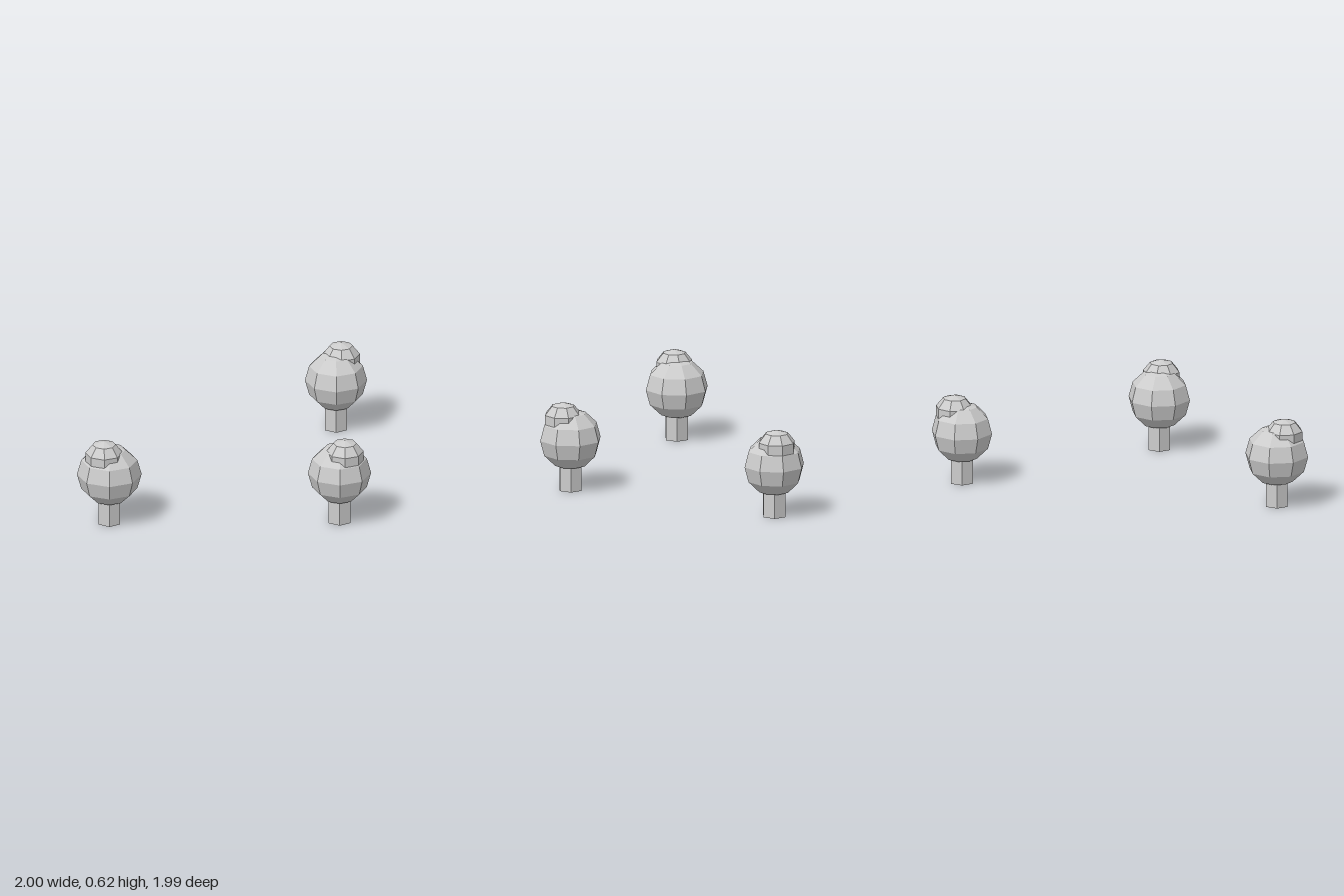
import * as THREE from 'three';

const grey = new THREE.MeshStandardMaterial({ color: 0xcccccc, flatShading: true });
grey.name = 'grey';

// Hollow six-sided trunk, from the inside top round the rim to the outside top
const trunkProfile = [[0.05, 0.2], [0.05, 0], [0.085, 0], [0.085, 0.2]];
const trunkGeometry = new THREE.LatheGeometry(
  trunkProfile.map(([r, y]) => new THREE.Vector2(r, y)), 6).toNonIndexed();
trunkGeometry.computeVertexNormals();

// Faceted ball of foliage, slightly flattened
function foliage(name, radius, rows, height, x, y, z) {
  const mesh = new THREE.Mesh(new THREE.SphereGeometry(radius, 8, rows), grey);
  mesh.name = name;
  mesh.scale.y = height / radius;
  mesh.position.set(x, y, z);
  return mesh;
}

// One tree; its upper tuft is shifted towards the outer corner
function tree(name, x, z, radius) {
  const group = new THREE.Group();
  group.name = name;
  const trunk = new THREE.Mesh(trunkGeometry, grey);
  trunk.name = 'trunk';
  group.add(
    trunk,
    foliage('crown', radius, 6, 0.21, 0, 0.355, 0),
    foliage('upperTuft', 0.134, 5, 0.12, 0.036 * Math.sign(x), 0.495, 0.038 * Math.sign(z)),
  );
  group.position.set(x, 0, z);
  return group;
}

export function createModel() {
  const model = new THREE.Group();
  model.name = 'cornerTrees';
  model.add(
    tree('frontRightTree', -0.78, 0.772, 0.22),
    tree('frontLeftTree', 0.784, 0.772, 0.215),
    tree('backLeftTree', 0.782, -0.788, 0.211),
  );
  return model;
}
